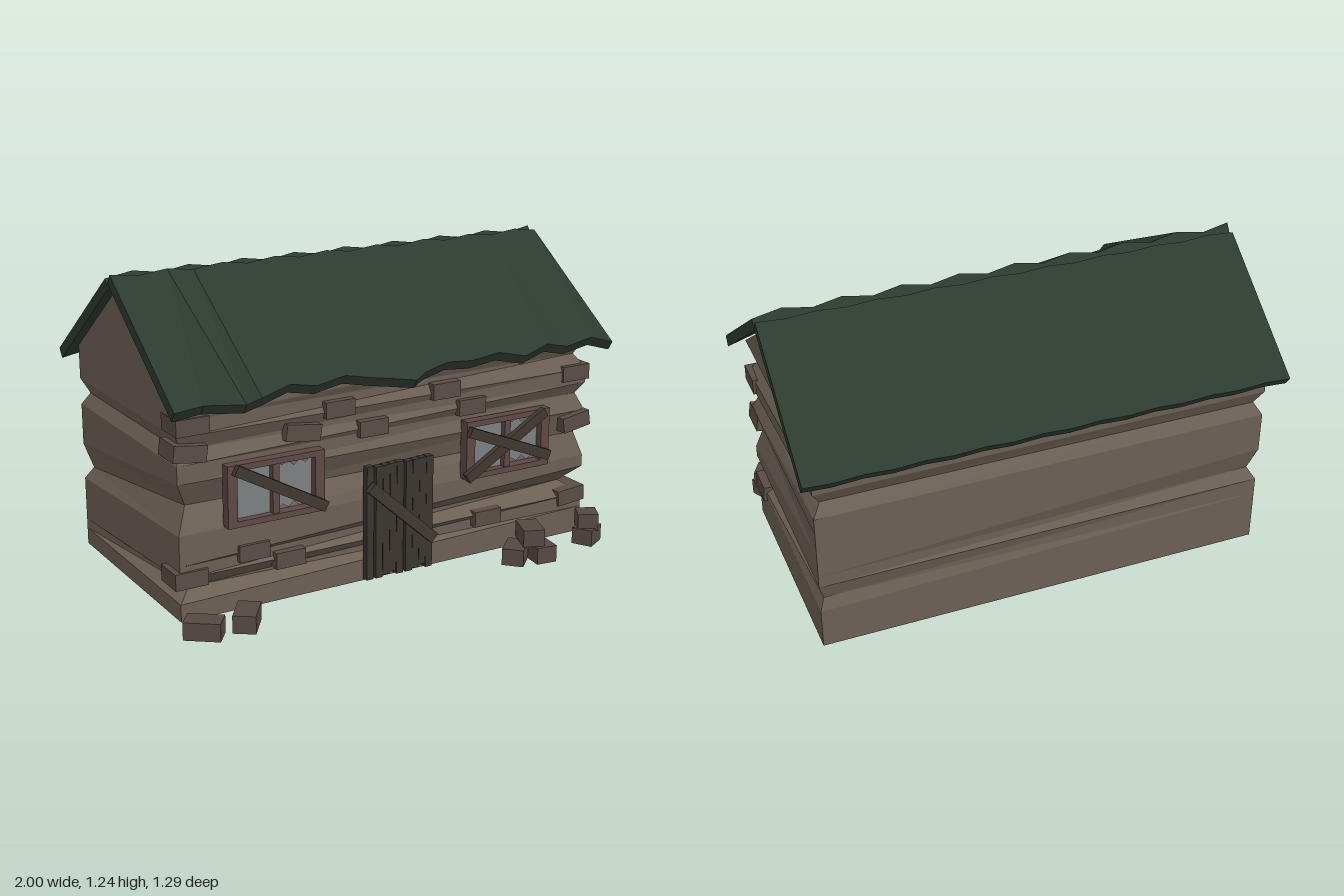
import * as THREE from 'three';

const mat = (color, extra = {}) =>
  new THREE.MeshStandardMaterial({ color, flatShading: true, ...extra });
const M = {
  wall: mat(0x6b5f54), roof: mat(0x2d3a2f), brick: mat(0x5a4c46), rubble: mat(0x564843),
  door: mat(0x3b352e), plank: mat(0x40382f), frame: mat(0x5c4845),
  glass: mat(0x7c7f80, { side: THREE.DoubleSide }),
};

function add(parent, name, geometry, material) {
  const mesh = new THREE.Mesh(geometry, material);
  mesh.name = name;
  parent.add(mesh);
  return mesh;
}

function box(parent, name, size, pos, material, rot = [0, 0, 0]) {
  const mesh = add(parent, name, new THREE.BoxGeometry(...size), material);
  mesh.position.set(...pos);
  mesh.rotation.set(...rot);
  return mesh;
}

// Collects flat polygons (corners counter-clockwise from outside)
function faceBuilder() {
  const pos = [];
  return {
    face(...p) {
      for (let i = 1; i < p.length - 1; i++) pos.push(...p[0], ...p[i], ...p[i + 1]);
    },
    build() {
      const g = new THREE.BufferGeometry();
      g.setAttribute('position', new THREE.Float32BufferAttribute(pos, 3));
      g.computeVertexNormals();
      return g;
    },
  };
}

// Walls: stacked rings of four corners, with chips knocked out of the corner edges
function wallGeometry() {
  const levels = [0, 0.07, 0.11, 0.17, 0.22, 0.29, 0.34, 0.44, 0.54, 0.61, 0.66, 0.72, 0.78, 0.86];
  const corners = [[-0.93, 0.395], [0.94, 0.395], [0.94, -0.53], [-0.93, -0.53]];
  const chips = [
    { 0.11: 0.06, 0.44: 0.05, 0.66: 0.03 },
    { 0.22: 0.07, 0.44: 0.03, 0.61: 0.03, 0.78: 0.04 },
    { 0.22: 0.02, 0.66: 0.035 },
    { 0.34: 0.03, 0.66: 0.03 },
  ];
  const rings = levels.map((y) => corners.map(([x, z], i) => {
    const d = chips[i][y] || 0;
    return [x - Math.sign(x) * d, y, z - Math.sign(z) * d];
  }));
  const f = faceBuilder();
  for (let k = 0; k < rings.length - 1; k++) {
    for (let i = 0; i < 4; i++) {
      const j = (i + 1) % 4;
      f.face(rings[k][i], rings[k][j], rings[k + 1][j], rings[k + 1][i]);
    }
  }
  const [a, b, c, d] = rings[rings.length - 1];
  const L = [-0.93, 1.185, -0.085], R = [0.94, 1.185, -0.085];
  f.face(b, c, R);
  f.face(d, a, L);
  f.face(a, b, R, L);
  f.face(c, d, L, R);
  f.face(...[...rings[0]].reverse());
  return f.build();
}

// Corrugated sheet between a ridge line and an eave line; under = offset to the underside
function sheetGeometry(ridge, eave, under) {
  const low = (p) => [p[0], p[1] + under[0], p[2] + under[1]];
  const f = faceBuilder();
  const n = ridge.length - 1;
  for (let i = 0; i < n; i++) {
    const [a, b, c, d] = [eave[i], eave[i + 1], ridge[i + 1], ridge[i]];
    f.face(a, b, c, d);
    f.face(low(d), low(c), low(b), low(a));
    f.face(low(a), low(b), b, a);
    f.face(d, c, low(c), low(d));
  }
  f.face(ridge[0], low(ridge[0]), low(eave[0]), eave[0]);
  f.face(eave[n], low(eave[n]), low(ridge[n]), ridge[n]);
  return f.build();
}

function buildRoof(house) {
  const roof = new THREE.Group();
  roof.name = 'roof';
  house.add(roof);
  const xs = Array.from({ length: 18 }, (_, i) => -0.975 + i * 1.975 / 17);

  // Front slope with a ragged, partly lifted eave: [z, y] per fold
  const ragged = [
    [0.49, 0.845], [0.485, 0.855], [0.595, 0.87], [0.49, 0.85], [0.49, 0.885], [0.48, 0.86],
    [0.49, 0.885], [0.49, 0.86], [0.53, 0.835], [0.5, 0.85], [0.48, 0.87], [0.48, 0.86],
    [0.495, 0.88], [0.515, 0.855], [0.5, 0.885], [0.48, 0.855], [0.49, 0.88], [0.485, 0.845],
  ];
  const ridgeF = xs.map((x, i) => (i % 2 ? [x, 1.223, -0.066] : [x, 1.24, -0.055]));
  const eaveF = xs.map((x, i) => [x + (i === 8 ? 0.06 : 0), ragged[i][1], ragged[i][0]]);
  add(roof, 'frontRoofSheet', sheetGeometry(ridgeF, eaveF, [-0.038, -0.025]), M.roof);

  // Back slope, wound the other way by running along x in reverse
  const lift = (i) => (i % 2 ? 0.02 : 0);
  const back = (y, z) => xs.map((x, i) => [x, y + 0.8 * lift(i), z - 0.6 * lift(i)]).reverse();
  add(roof, 'backRoofSheet',
    sheetGeometry(back(1.218, -0.102), back(0.83, -0.63), [-0.036, 0.026]), M.roof);
}

// Flat board from point a to point b on the front wall
function board(parent, name, a, b, width, z, tilt = 0) {
  const dx = b[0] - a[0], dy = b[1] - a[1];
  return box(parent, name, [Math.hypot(dx, dy), width, 0.025],
    [(a[0] + b[0]) / 2, (a[1] + b[1]) / 2, z], M.plank, [0, tilt, Math.atan2(dy, dx)]);
}

function buildWindow(house, name, cx, boards) {
  const g = new THREE.Group();
  g.name = name;
  g.position.set(cx, 0.4675, 0);
  house.add(g);
  const w = 0.41, h = 0.245, t = 0.04;
  for (const s of [-1, 1]) {
    box(g, 'windowFrameSide', [t, h, 0.045], [s * (w - t) / 2, 0, 0.41], M.frame);
    box(g, 'windowFrameRail', [w - 2 * t, t * 0.6, 0.045], [0, s * (h - t * 0.6) / 2, 0.41], M.frame);
  }
  box(g, 'mullion', [0.028, h - 0.04, 0.035], [0, 0, 0.408], M.frame);

  // Whole pane on the left, jagged pane on the right
  const x0 = 0.014, x1 = w / 2 - t, y1 = h / 2 - 0.024;
  const whole = add(g, 'windowPane', new THREE.PlaneGeometry(x1 - x0, 2 * y1), M.glass);
  whole.position.set(-(x0 + x1) / 2, 0, 0.4);
  const steps = [0, 0.022, 0.006, 0.026, 0.004, 0.018, 0];
  const at = (i) => x0 + (x1 - x0) * i / (steps.length - 1);
  const outline = steps.map((d, i) => new THREE.Vector2(at(i), -y1 + d));
  steps.forEach((_, k) => {
    const i = steps.length - 1 - k;
    outline.push(new THREE.Vector2(at(i), y1 - steps[k]));
  });
  const broken = add(g, 'brokenPane', new THREE.ShapeGeometry(new THREE.Shape(outline)), M.glass);
  broken.position.z = 0.4;
  boards.forEach(([a, b, z]) => board(g, 'windowBoard', a, b, 0.042, z));
}

function buildDoor(house) {
  const g = new THREE.Group();
  g.name = 'door';
  house.add(g);
  const n = 9, w = 0.31 / n;
  for (let i = 0; i < n; i++) {
    const drop = (i * 5 % 4) * 0.006;
    box(g, 'doorPlank', [w * 0.9, 0.47 - drop, 0.03],
      [-0.145 + w * (i + 0.5), 0.245 + drop / 2, 0.412 + (i * 3 % 4) * 0.004], M.door);
  }
  board(g, 'doorBoard', [-0.14, 0.405], [0.155, 0.14], 0.045, 0.447);
}

function buildBricks(house) {
  const g = new THREE.Group();
  g.name = 'bricks';
  house.add(g);
  // Proud bricks in the front wall: x, y, turn
  const wallBricks = [
    [-0.41, 0.66, -0.14], [-0.25, 0.73, 0], [-0.1, 0.63, 0], [0.235, 0.73, 0],
    [0.36, 0.645, 0], [-0.625, 0.225, 0], [-0.47, 0.165, 0], [0.45, 0.155, 0],
  ];
  for (const [x, y, r] of wallBricks) {
    box(g, 'wallBrick', [r ? 0.15 : 0.128, 0.065, 0.06], [x, y, 0.38], M.brick, [0, 0, r]);
  }
  // Corner stones: x, y, z, turn
  const cornerStones = [
    [0.885, 0.708, 0.338, 0], [0.88, 0.503, 0.36, 0.16], [0.885, 0.168, 0.338, 0.08],
    [-0.865, 0.755, 0.34, 0], [-0.88, 0.655, 0.345, -0.13], [-0.885, 0.165, 0.34, 0],
  ];
  for (const [x, y, z, r] of cornerStones) {
    box(g, 'cornerStone', [0.135, 0.065, 0.13], [x, y, z], M.brick, [0, 0, r]);
  }
  // Loose bricks on the ground: x, y, z, turn, length
  const loose = [
    [-0.915, 0.043, 0.56, -0.65, 0.14], [-0.74, 0.043, 0.56, 0.95, 0.14],
    [0.49, 0.043, 0.55, 0.75, 0.13], [0.59, 0.043, 0.57, 1.45, 0.14],
    [0.56, 0.113, 0.55, 1.2, 0.13], [0.88, 0.037, 0.52, 0.5, 0.1], [0.885, 0.098, 0.51, -0.5, 0.085],
  ];
  for (const [x, y, z, r, len] of loose) {
    box(g, 'looseBrick', [len, 0.07, 0.088], [x, y, z], M.rubble, [0, r, 0]);
  }
}

export function createModel() {
  const house = new THREE.Group();
  house.name = 'abandonedCottage';
  add(house, 'walls', wallGeometry(), M.wall);
  buildRoof(house);
  buildDoor(house);
  buildWindow(house, 'rightWindow', -0.54, [[[-0.18, 0.11], [0.2, -0.1], 0.447]]);
  buildWindow(house, 'leftWindow', 0.525, [
    [[-0.21, -0.11], [0.17, 0.115], 0.442],
    [[-0.21, 0.09], [0.185, -0.07], 0.457],
  ]);
  buildBricks(house);
  return house;
}
